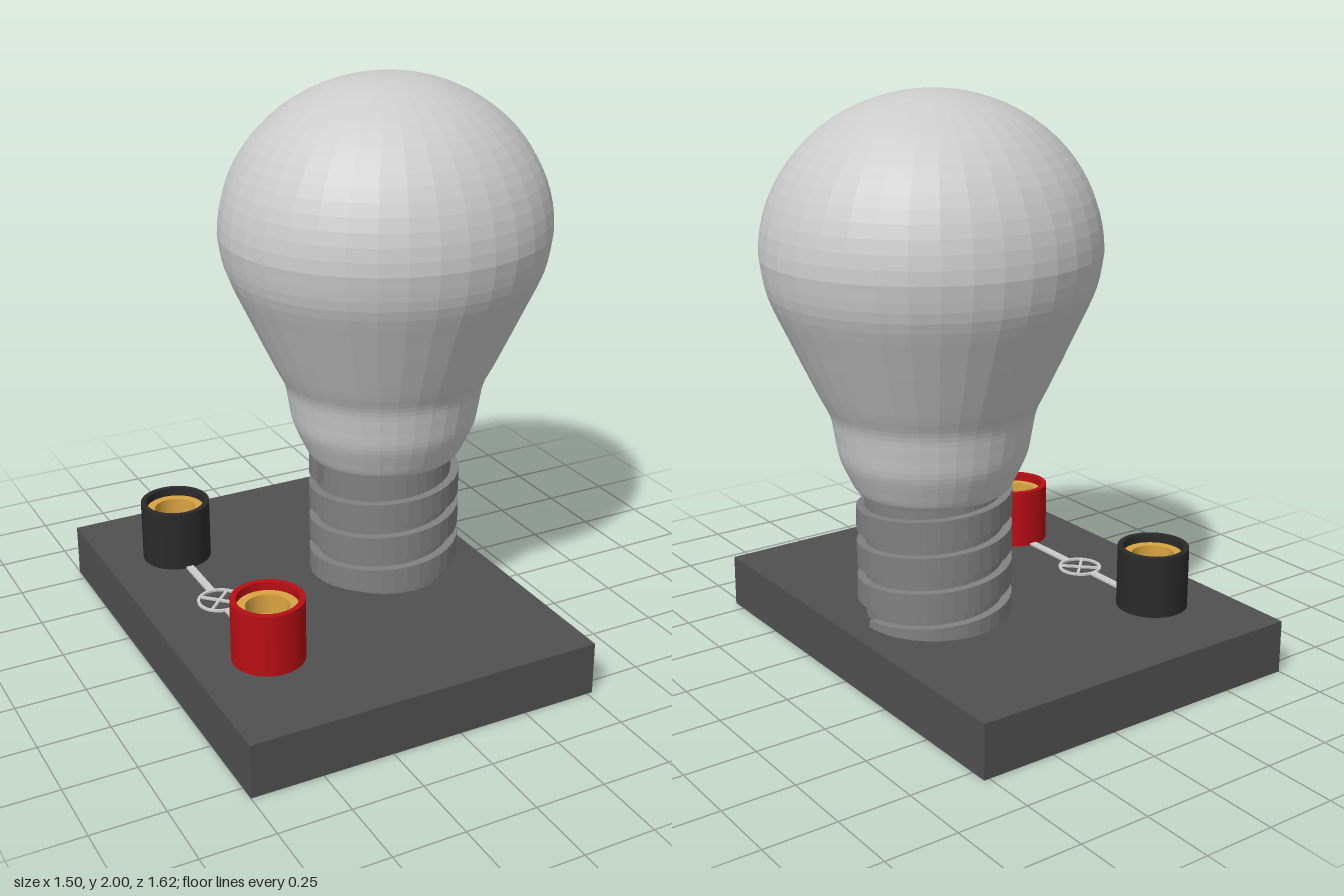
import * as THREE from 'three';

const material = (color, extra = {}) => new THREE.MeshStandardMaterial({ color, ...extra });

function add(parent, name, geometry, mat, x = 0, y = 0, z = 0) {
  const mesh = new THREE.Mesh(geometry, mat);
  mesh.name = name;
  mesh.position.set(x, y, z);
  parent.add(mesh);
  return mesh;
}

const lathe = (points, segments) =>
  new THREE.LatheGeometry(points.map(([r, y]) => new THREE.Vector2(r, y)), segments);

// Rectangular ridge wound upwards around the y axis
function helixRidge(inner, outer, height, y0, y1, turns, steps) {
  const section = [[inner, 0], [outer, 0], [outer, height], [inner, height]];
  const positions = [], indices = [];
  for (let i = 0; i <= steps; i++) {
    const t = i / steps, a = t * turns * Math.PI * 2;
    for (const [r, y] of section) {
      positions.push(r * Math.cos(a), y0 + (y1 - y0) * t + y, -r * Math.sin(a));
    }
    if (i === steps) break;
    for (let j = 0; j < 4; j++) {
      const a0 = i * 4 + j, b0 = i * 4 + (j + 1) % 4;
      indices.push(a0, a0 + 4, b0, b0, a0 + 4, b0 + 4);
    }
  }
  const e = steps * 4;
  indices.push(0, 1, 2, 0, 2, 3, e, e + 2, e + 1, e, e + 3, e + 2);
  const geometry = new THREE.BufferGeometry();
  geometry.setAttribute('position', new THREE.Float32BufferAttribute(positions, 3));
  geometry.setIndex(indices);
  geometry.computeVertexNormals();
  return geometry;
}

export function createModel() {
  const model = new THREE.Group();
  model.name = 'bulbOnBoard';
  const boardTop = 0.19;

  // Base board
  add(model, 'board', new THREE.BoxGeometry(1.27, boardTop, 1.62), material(0x505050), -0.115, boardTop / 2, 0);

  // Screw base: core with a wound thread
  const bulb = new THREE.Group();
  bulb.name = 'bulb';
  bulb.position.set(0.165, 0, -0.025);
  model.add(bulb);
  const metal = material(0x808080, { flatShading: true, side: THREE.DoubleSide });
  add(bulb, 'screwCore', new THREE.CylinderGeometry(0.24, 0.24, 0.51, 36), metal, 0, 0.435, 0);
  add(bulb, 'screwThread', helixRidge(0.23, 0.27, 0.085, 0.13, 0.575, 3.5, 126), metal);

  // Glass: spline from collar to widest ring, then a rounded dome
  const neck = new THREE.SplineCurve([
    [0.235, 0.64], [0.27, 0.655], [0.3, 0.71], [0.33, 0.78], [0.345, 0.86],
    [0.36, 0.93], [0.4, 1.01], [0.49, 1.2], [0.557, 1.35], [0.58, 1.47],
  ].map(([r, y]) => new THREE.Vector2(r, y)));
  const profile = neck.getPoints(36).map(p => [p.x, p.y]);
  for (let i = 1; i <= 18; i++) {
    const a = (i / 18) * Math.PI / 2;
    profile.push([Math.max(0, 0.58 * Math.cos(a)), 1.47 + 0.53 * Math.sin(a)]);
  }
  const glass = add(bulb, 'glass', lathe(profile, 36), material(0xcccccc, { flatShading: true }));
  glass.scale.z = 0.94;

  // Terminals: coloured sleeve with a recessed brass socket
  const brass = material(0xd9a441, { side: THREE.DoubleSide });
  const tx = -0.485;
  for (const [name, color, z] of [['redTerminal', 0xb80e14, 0.375], ['blackTerminal', 0x2a2a2a, -0.435]]) {
    const terminal = new THREE.Group();
    terminal.name = name;
    terminal.position.set(tx, boardTop, z);
    model.add(terminal);
    // Doubled profile points keep the rim crisp
    add(terminal, 'sleeve', lathe([[0.125, 0], [0.125, 0.22], [0.125, 0.22], [0.105, 0.22], [0.105, 0.22], [0.105, 0.1]], 40),
      material(color, { side: THREE.DoubleSide }));
    add(terminal, 'socket', lathe([[0.106, 0.19], [0.075, 0.19], [0.075, 0.19], [0.075, 0.12], [0.075, 0.12], [0, 0.12]], 40), brass);
  }

  // Circuit marking between the terminals: two wires and a crossed ring
  const paint = material(0xcccccc);
  const symbolZ = -0.035, h = 0.008;
  const symbol = new THREE.Group();
  symbol.name = 'lampSymbol';
  symbol.position.set(tx, boardTop, symbolZ);
  model.add(symbol);
  for (const side of [-1, 1]) {
    add(symbol, 'wire', new THREE.BoxGeometry(0.028, h, 0.22), paint, 0, h / 2, side * 0.185);
    const bar = add(symbol, 'crossBar', new THREE.BoxGeometry(0.01, h, 0.15), paint, 0, h / 2, 0);
    bar.rotation.y = side * Math.PI / 4;
  }
  const ring = new THREE.Shape().absarc(0, 0, 0.079, 0, Math.PI * 2);
  ring.holes.push(new THREE.Path().absarc(0, 0, 0.069, 0, Math.PI * 2, true));
  const ringMesh = add(symbol, 'ring', new THREE.ExtrudeGeometry(ring, { depth: h, bevelEnabled: false, curveSegments: 32 }), paint);
  ringMesh.rotation.x = -Math.PI / 2;

  return model;
}
